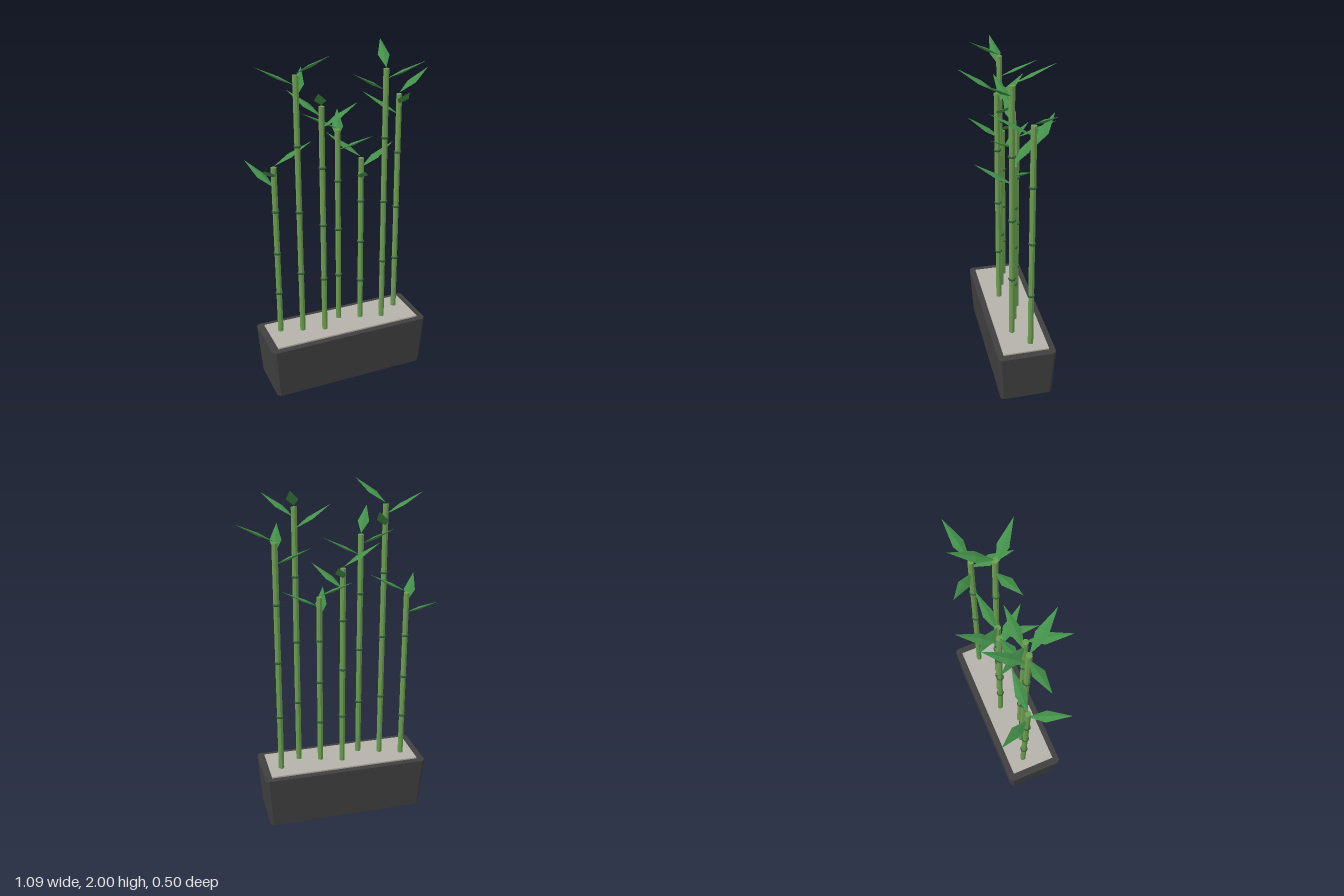
import * as THREE from 'three';

const paint = (name, color) => {
  const m = new THREE.MeshStandardMaterial({ color });
  m.name = name;
  return m;
};

export function createModel() {
  const potGrey = paint('potGrey', 0x3f3f40);
  const gravelGrey = paint('gravelGrey', 0xb5b2aa);
  const caneGreen = paint('caneGreen', 0x6b9e50);
  const nodeGreen = paint('nodeGreen', 0x2f5f38);
  const leafGreen = paint('leafGreen', 0x43904a);

  const model = new THREE.Group();
  model.name = 'pottedBamboo';
  const add = (parent, name, geometry, material, x = 0, y = 0, z = 0) => {
    const mesh = new THREE.Mesh(geometry, material);
    mesh.name = name;
    mesh.position.set(x, y, z);
    parent.add(mesh);
    return mesh;
  };
  const flat = (geometry) => {
    const g = geometry.index ? geometry.toNonIndexed() : geometry;
    g.computeVertexNormals();
    return g;
  };

  // Planter: chamfered rectangle, narrowing towards the floor
  const w = 0.497, d = 0.174, c = 0.018, potHeight = 0.317, potX = -0.054;
  const outline = new THREE.Shape([
    [-w + c, -d], [w - c, -d], [w, -d + c], [w, d - c],
    [w - c, d], [-w + c, d], [-w, d - c], [-w, -d + c],
  ].map(([x, y]) => new THREE.Vector2(x, y)));
  const pot = new THREE.ExtrudeGeometry(outline, { depth: potHeight, bevelEnabled: false });
  pot.rotateX(-Math.PI / 2);
  const p = pot.attributes.position;
  for (let i = 0; i < p.count; i++) {
    if (p.getY(i) < 0.01) p.setXYZ(i, p.getX(i) * 0.955, 0, p.getZ(i) * 0.91);
  }
  add(model, 'planter', flat(pot), potGrey, potX);
  add(model, 'gravel', new THREE.BoxGeometry(0.908, 0.02, 0.274), gravelGrey, potX, 0.316, 0);

  // Leaf: flattened four-sided double cone, lying along +x and rising to its tip
  const leafRun = 0.226, leafRise = 0.118;
  const leafProfile = [[0, 0], [1, 0.42], [0, 1]].map(([r, y]) => new THREE.Vector2(r, y));
  const leaf = new THREE.LatheGeometry(leafProfile, 4);
  leaf.scale(0.033, Math.hypot(leafRun, leafRise), 0.009);
  leaf.rotateY(Math.PI / 2);
  leaf.rotateZ(Math.atan2(leafRise, leafRun) - Math.PI / 2);
  const leafGeometry = flat(leaf);

  const nodeGeometry = new THREE.TorusGeometry(0.016, 0.007, 6, 10);
  nodeGeometry.rotateX(Math.PI / 2);

  // Canes: seven in a zigzag row, each with three nodes and three leaves
  const base = 0.325;
  const heights = [1.37, 1.875, 1.705, 1.54];
  for (let i = 0; i < 7; i++) {
    const stalk = new THREE.Group();
    stalk.name = 'stalk' + (i + 1);
    stalk.position.set(-0.434 + i * 0.1267, 0, ((i % 3) - 1) * 0.042);
    model.add(stalk);

    const top = heights[i % 4];
    const length = top - base;
    add(stalk, 'cane', flat(new THREE.CylinderGeometry(0.017, 0.017, length, 8)),
      caneGreen, 0, base + length / 2);
    for (let n = 1; n < 4; n++) {
      add(stalk, 'node', nodeGeometry, nodeGreen, 0, base + length * n / 4);
    }
    for (let j = 0; j < 3; j++) {
      const blade = add(stalk, 'leaf', leafGeometry, leafGreen, 0, top + 0.006 - j * 0.063);
      blade.rotation.y = -(i + j * Math.PI * 2 / 3);
    }
  }
  return model;
}
